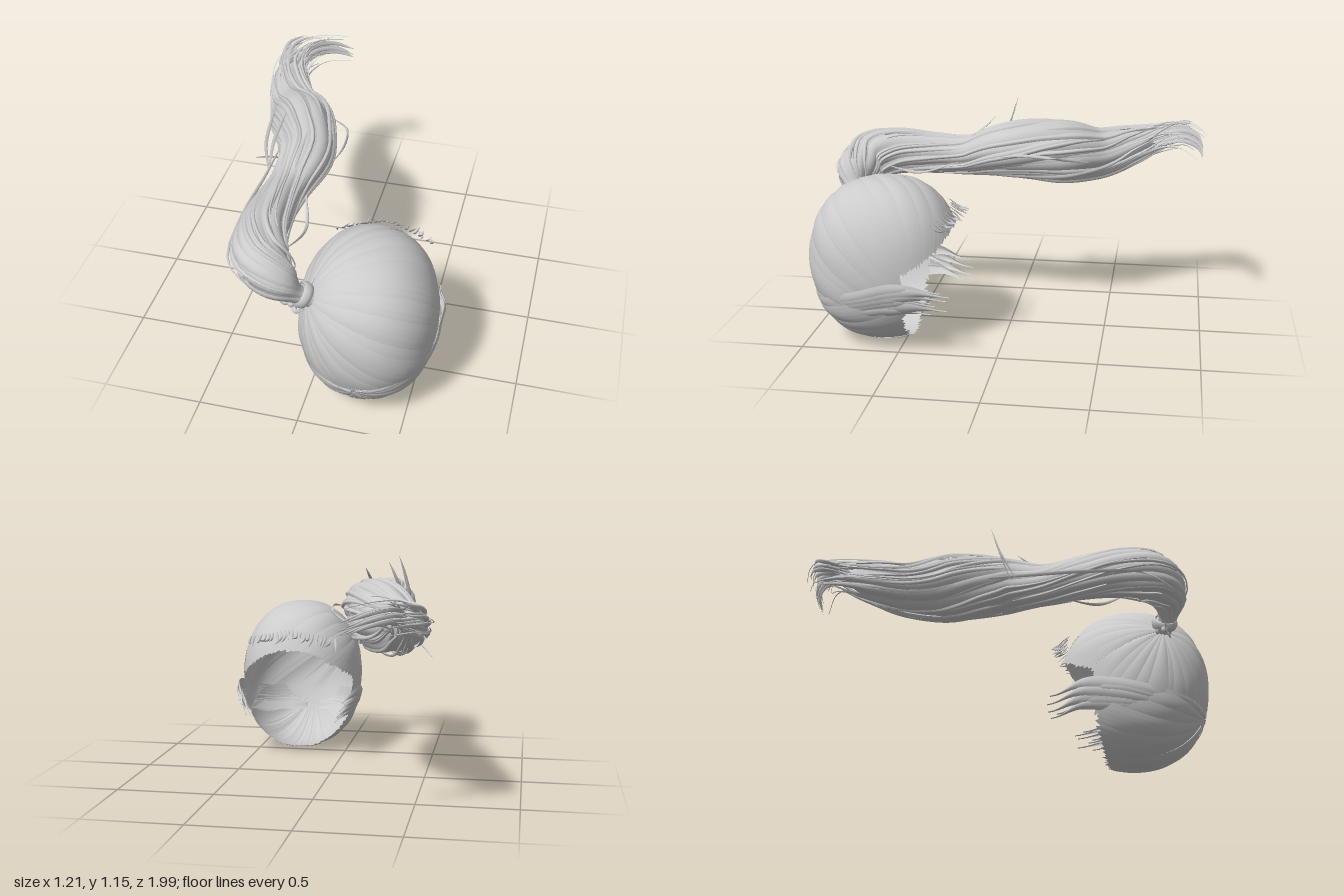
import * as THREE from 'three';

const mat = new THREE.MeshStandardMaterial({ color: 0xcccccc, side: THREE.DoubleSide });
const V = (x, y, z) => new THREE.Vector3(x, y, z);
const lerp = THREE.MathUtils.lerp, smooth = THREE.MathUtils.smoothstep;

let seed = 7;
const rnd = () => (seed = (seed * 16807) % 2147483647) / 2147483647;
const jit = (a) => (rnd() * 2 - 1) * a;

// Surface from f(u, v) -> Vector3, u along the lock and v across it
function grid(f, nu, nv) {
  const pos = [], idx = [];
  for (let i = 0; i <= nu; i++)
    for (let j = 0; j <= nv; j++) pos.push(...f(i / nu, j / nv, j).toArray());
  for (let i = 0; i < nu; i++)
    for (let j = 0; j < nv; j++) {
      const a = i * (nv + 1) + j, b = a + nv + 1;
      idx.push(a, b, a + 1, b, b + 1, a + 1);
    }
  const g = new THREE.BufferGeometry();
  g.setAttribute('position', new THREE.Float32BufferAttribute(pos, 3));
  g.setIndex(idx);
  g.computeVertexNormals();
  return g;
}
function add(parent, name, geo) {
  const m = new THREE.Mesh(geo, mat);
  m.name = name;
  parent.add(m);
  return m;
}
function section(parent, name) {
  const g = new THREE.Group();
  g.name = name;
  parent.add(g);
  return g;
}

// Scalp: a slightly squared ellipsoid
const C = V(0.265, 0.445, 0.605), R = V(0.335, 0.418, 0.385), P = 2.2;
function scalp(d, k = 1) {
  const n = Math.pow(Math.abs(d.x) ** P + Math.abs(d.y) ** P + Math.abs(d.z) ** P, -1 / P) * k;
  return V(C.x + d.x * n * R.x, C.y + d.y * n * R.y, C.z + d.z * n * R.z);
}
const dirTo = (p) => p.clone().sub(C).divide(R).normalize();

// Edge of the face opening: smallest z that carries hair at height y
const edge = [[0, 0.48], [0.2, 0.45], [0.46, 0.46], [0.5, 0.38], [0.56, 0.3], [0.66, 0.23], [0.69, 0]];
function edgeZ(y) {
  if (y <= 0) return 0.48;
  for (let i = 1; i < edge.length; i++) {
    const [y0, z0] = edge[i - 1], [y1, z1] = edge[i];
    if (y < y1) return lerp(z0, z1, (y - y0) / (y1 - y0));
  }
  return 0;
}

// Locks that fan out over the scalp from one point to wherever keep() fails
function fan(parent, name, origin, count, layer, keep, ragged) {
  const pole = dirTo(origin);
  const ux = V(0, 1, 0).cross(pole).normalize(), uy = pole.clone().cross(ux);
  const dir = (th, ph) => pole.clone().multiplyScalar(Math.cos(th))
    .addScaledVector(ux, Math.sin(th) * Math.cos(ph)).addScaledVector(uy, Math.sin(th) * Math.sin(ph));
  const reach = (ph) => {
    let th = 0.06;
    while (th < 3 && keep(scalp(dir(th, ph)))) th += 0.02;
    return th;
  };
  for (let k = 0; k < count; k++) {
    const mid = (k + 0.5 + jit(0.2)) / count * Math.PI * 2;
    const half = Math.PI / count * (1.3 + rnd() * 0.3);
    const lift = layer + rnd() * 0.018, nv = 10;
    const ends = Array.from({ length: nv + 1 }, (_, j) =>
      reach(mid + half * (j / nv * 2 - 1)) + (j % 2 ? ragged * rnd() : -ragged * 0.3));
    add(parent, name, grid((u, v, j) => {
      const s = v * 2 - 1;
      const bulge = 0.016 * (1 - s * s) * Math.sin(Math.PI * Math.min(1, u * 1.1));
      return scalp(dir(0.03 + u * (ends[j] - 0.03), mid + half * s), lift + bulge);
    }, 26, nv));
  }
}

// Ponytail centre line and radius
const path = [
  [0.01, 0.67, 0.82, 0.045], [-0.04, 0.71, 0.85, 0.05], [-0.11, 0.78, 0.86, 0.1], [-0.2, 0.84, 0.81, 0.125],
  [-0.25, 0.865, 0.67, 0.12], [-0.25, 0.865, 0.45, 0.105], [-0.23, 0.865, 0.26, 0.1],
  [-0.2, 0.905, 0.08, 0.13], [-0.24, 0.905, -0.08, 0.15], [-0.3, 0.885, -0.25, 0.16],
  [-0.39, 0.86, -0.42, 0.13], [-0.46, 0.89, -0.58, 0.105], [-0.49, 0.93, -0.74, 0.075],
  [-0.43, 0.965, -0.87, 0.055], [-0.27, 0.94, -0.97, 0.03]];
const line = new THREE.CatmullRomCurve3(path.map((p) => V(p[0], p[1], p[2])));
const radii = new THREE.CatmullRomCurve3(path.map((p) => V(p[3], 0, 0)), false, 'catmullrom');
function around(t, angle, k) {
  const T = line.getTangent(t);
  const side = T.clone().cross(V(0, 1, 0)).normalize(), up = side.clone().cross(T);
  const r = radii.getPoint(t).x * k;
  return line.getPoint(t).addScaledVector(side, Math.cos(angle) * r).addScaledVector(up, Math.sin(angle) * r);
}

function ponytailLock(parent, a0, half, layer, start, end, splay) {
  const twist = 3.2 + jit(0.5), drift = V(jit(splay), jit(splay * 0.6), jit(splay * 0.4));
  const wave = rnd() * 6;
  add(parent, 'ponytailLock', grid((u, v) => {
    const t = lerp(start, end, u), s = v * 2 - 1;
    const w = half * (1 - 0.96 * smooth(u, 0.72, 1)) * (start > 0 ? smooth(u, -0.05, 0.2) : 1);
    const k = layer + 0.07 * (1 - s * s) + 0.03 * Math.sin(wave + t * 14);
    const p = around(t, a0 + twist * t + 0.12 * Math.sin(wave + t * 9) - s * w, k);
    return p.addScaledVector(drift, smooth(t, 0.76, 1) ** 1.5);
  }, 56, 5));
}

// Thin tapering strand through a few points
function strand(parent, pts, width) {
  const c = new THREE.CatmullRomCurve3(pts.map((p) => V(...p)));
  add(parent, 'looseStrand', grid((u, v) => {
    const w = width * Math.sin(Math.PI * (0.12 + 0.87 * u)), a = -v * Math.PI * 2;
    const T = c.getTangent(u), n = T.clone().cross(V(0.3, 0.2, 0.93)).normalize(), b = T.clone().cross(n);
    return c.getPoint(u).addScaledVector(n, w * Math.cos(a)).addScaledVector(b, w * 0.4 * Math.sin(a));
  }, 14, 6));
}

export function createModel() {
  seed = 7;
  const model = new THREE.Group();
  model.name = 'ponytailHair';

  // Hair swept over the scalp to the tie
  const crown = section(model, 'crownHair');
  fan(crown, 'crownLock', V(0, 0.66, 0.82), 26, 0.985,
    (p) => p.z > edgeZ(p.y) && p.y > 0.23, 0.05);

  // Hair below the parting, gathered at the nape
  const nape = section(model, 'napeHair');
  fan(nape, 'napeLock', V(0.27, 0.25, 0.95), 26, 1.0,
    (p) => p.z > 0.47 && p.y < 0.26 + 0.2 * Math.abs(p.x - C.x), 0.06);

  // Side locks sweeping past the opening, mirrored
  const sides = section(model, 'sideLocks');
  for (const m of [-1, 1])
    for (let k = 0; k < 7; k++) {
      const y0 = 0.2 + k * 0.013, y1 = 0.27 + k * 0.019 + jit(0.01);
      const tip = 0.2 + rnd() * 0.15, lift = 1.02 + rnd() * 0.02, h = 0.026 + rnd() * 0.012;
      add(sides, 'sideLock', grid((u, v) => {
        const z = lerp(0.92, tip, u), s = v * 2 - 1;
        const y = lerp(y0, y1, smooth(u, 0, 0.75)) - 0.03 * smooth(u, 0.75, 1) + m * s * h * (1 - 0.95 * smooth(u, 0.6, 1));
        const q = 1 - ((y - C.y) / R.y) ** 2 - ((Math.max(z, 0.55) - C.z) / R.z) ** 2;
        const x = R.x * Math.sqrt(Math.max(q, 0.01)) * lift + 0.008 * (1 - s * s) - 0.05 * smooth(u, 0.7, 1);
        return V(C.x + m * x, y, z);
      }, 24, 4));
    }

  // Fine hairs along the hairline
  const wisps = section(model, 'hairlineWisps');
  for (let k = 0; k < 22; k++) {
    const x = lerp(0.03, 0.5, k / 21), s = Math.abs(x - C.x) / 0.3;
    const z = 0.25 + 0.09 * s * s, y = 0.71 - 0.06 * s;
    strand(wisps, [[x, y + 0.03, z + 0.02], [x + jit(0.01), y, z - 0.02], [x + jit(0.03), y - 0.02 + jit(0.03), z - 0.05 - rnd() * 0.03]], 0.007);
  }

  // Ponytail: solid core wrapped in twisting locks
  const tail = section(model, 'ponytail');
  add(tail, 'ponytailCore', grid((u, v) =>
    around(u * 0.92, -v * Math.PI * 2, 0.88 * (1 - smooth(u, 0.84, 1))), 70, 20));
  for (let k = 0; k < 20; k++)
    ponytailLock(tail, k / 20 * Math.PI * 2, 0.24 + rnd() * 0.1, 0.88 + rnd() * 0.1, 0, 0.9 + rnd() * 0.1, 0.1);
  for (let k = 0; k < 22; k++)
    ponytailLock(tail, rnd() * 6.28, 0.06 + rnd() * 0.08, 0.97 + rnd() * 0.07, 0.05 + rnd() * 0.35, 0.8 + rnd() * 0.2, 0.13);

  // Curling tips at the end of the tail
  for (let k = 0; k < 9; k++) {
    const a = jit(0.03), b = jit(0.03);
    strand(tail, [[-0.49 + a, 0.9 + b, -0.62], [-0.55 + a, 0.94 + b, -0.75], [-0.54 + a * 1.5, 0.97 + b * 1.5, -0.86], [-0.46 + a * 2, 0.98 + b * 2, -0.92]], 0.012);
    strand(tail, [[-0.48 + a, 0.92 + b, -0.7], [-0.43 + a, 0.97 + b, -0.86], [-0.33 + a, 0.96 + b, -0.95], [-0.22 + a, 0.92 + b, -0.98]], 0.014);
  }

  // Stray strands
  const stray = section(model, 'strayStrands');
  [
    [[-0.38, 0.84, 0.12], [-0.4, 0.96, 0.08], [-0.38, 1.08, 0.04], [-0.355, 1.17, 0.01]],
    [[-0.37, 0.86, 0.14], [-0.36, 0.98, 0.08], [-0.33, 1.07, 0.04], [-0.3, 1.14, 0.02]],
    [[-0.2, 0.97, 0.25], [-0.19, 1.03, 0.17], [-0.17, 1.1, 0.1]],
    [[-0.33, 0.88, 0.06], [-0.42, 0.8, -0.04], [-0.56, 0.67, -0.19]],
    [[-0.17, 0.86, -0.38], [-0.06, 0.9, -0.24], [-0.03, 0.92, -0.05], [-0.06, 0.9, 0.08]],
    [[-0.36, 0.88, -0.02], [-0.37, 0.86, 0.2], [-0.4, 0.82, 0.5], [-0.37, 0.78, 0.8], [-0.16, 0.74, 0.95]],
    [[-0.13, 0.85, 0.3], [-0.08, 0.8, 0.5], [-0.13, 0.82, 0.7]],
  ].forEach((p) => strand(stray, p, 0.009));

  // Hair tie with a small knot, and the root showing inside
  const axis = V(-0.76, 0.58, 0.28).normalize();
  const tie = section(model, 'hairTie');
  tie.position.set(-0.005, 0.685, 0.825);
  tie.quaternion.setFromUnitVectors(V(0, 1, 0), axis);
  const band = [[0.05, -0.024], [0.06, -0.022], [0.066, 0], [0.06, 0.022], [0.05, 0.024]];
  add(tie, 'band', new THREE.LatheGeometry(band.map((p) => new THREE.Vector2(...p)), 28));
  add(tie, 'root', new THREE.CylinderGeometry(0.045, 0.04, 0.14, 14)).position.y = -0.05;
  const bow = section(model, 'tieKnot');
  add(bow, 'knot', new THREE.SphereGeometry(0.018, 10, 8)).position.set(-0.06, 0.62, 0.83);
  for (const p of [[-0.12, 0.635, 0.84], [-0.01, 0.6, 0.85], [-0.09, 0.61, 0.79]])
    strand(bow, [[-0.055, 0.622, 0.83], [(p[0] - 0.06) / 2, p[1] - 0.004, p[2]], p], 0.014);

  return model;
}
